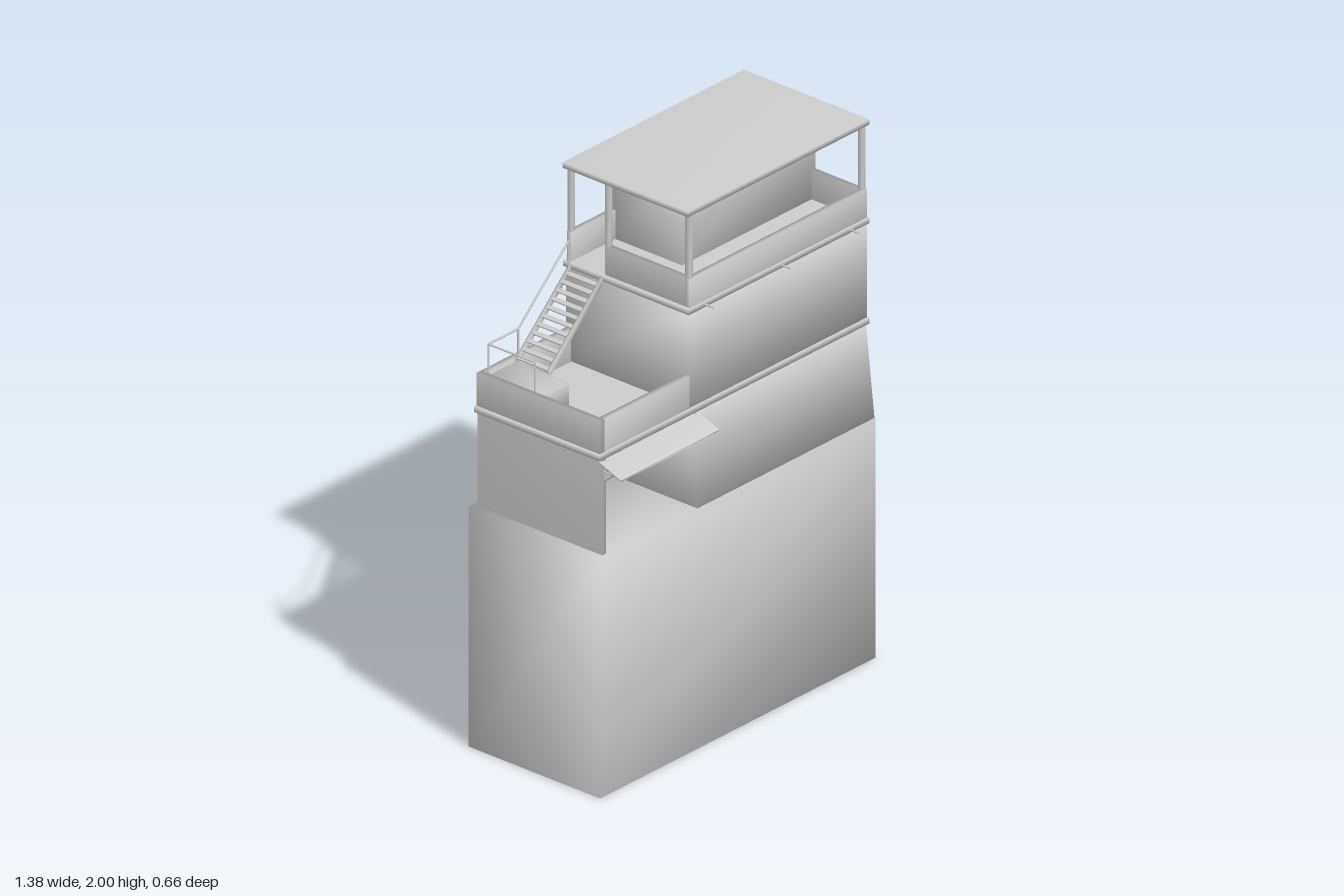
import * as THREE from 'three';
import { mergeVertices } from 'three/addons/utils/BufferGeometryUtils.js';

const grey = new THREE.MeshStandardMaterial({ color: 0xcccccc, side: THREE.DoubleSide });

// Welds corners so shading flows softly across the edges.
function soften(geo) {
  geo.deleteAttribute('normal');
  geo.deleteAttribute('uv');
  const welded = mergeVertices(geo);
  welded.computeVertexNormals();
  return welded;
}

export function createModel() {
  const model = new THREE.Group();
  model.name = 'terracedBuilding';

  const group = (name) => {
    const g = new THREE.Group();
    g.name = name;
    model.add(g);
    return g;
  };

  const add = (parent, name, geo) => {
    const mesh = new THREE.Mesh(geo, grey);
    mesh.name = name;
    parent.add(mesh);
    return mesh;
  };

  // Box given by its extents; shape(v) may move each corner.
  const block = (parent, name, [x0, x1], [y0, y1], [z0, z1], shape) => {
    const geo = new THREE.BoxGeometry(x1 - x0, y1 - y0, z1 - z0);
    geo.translate((x0 + x1) / 2, (y0 + y1) / 2, (z0 + z1) / 2);
    if (shape) {
      const p = geo.attributes.position;
      const v = new THREE.Vector3();
      for (let i = 0; i < p.count; i++) {
        v.fromBufferAttribute(p, i);
        shape(v);
        p.setXYZ(i, v.x, v.y, v.z);
      }
    }
    return add(parent, name, soften(geo));
  };

  // Thin round bar between two points.
  const bar = (parent, name, a, b, r = 0.004) => {
    const from = new THREE.Vector3(...a), to = new THREE.Vector3(...b);
    const dir = to.clone().sub(from);
    const mesh = add(parent, name, new THREE.CylinderGeometry(r, r, dir.length(), 6));
    mesh.position.copy(from).add(to).multiplyScalar(0.5);
    mesh.quaternion.setFromUnitVectors(new THREE.Vector3(0, 1, 0), dir.normalize());
    return mesh;
  };

  // Main volumes
  block(model, 'base', [-0.69, 0.69], [0, 0.89], [-0.33, 0.25]);
  block(model, 'lowerStorey', [-0.2, 0.688], [0.89, 1.24], [-0.31, 0.248], (v) => {
    if (v.y > 1) {
      v.x += v.x > 0 ? -0.022 : -0.015;
      if (v.z > 0) v.z -= 0.018;
    }
  });
  block(model, 'middleStorey', [-0.222, 0.668], [1.265, 1.615], [-0.312, 0.232]);
  block(model, 'topRoom', [0, 0.668], [1.635, 1.98], [-0.31, 0.005]);

  // Projecting slabs between storeys, and the roof
  block(model, 'lowerSlab', [-0.68, 0.674], [1.242, 1.264], [-0.316, 0.238]);
  block(model, 'upperSlab', [-0.232, 0.674], [1.615, 1.635], [-0.316, 0.238]);
  block(model, 'roof', [-0.235, 0.674], [1.98, 2], [-0.316, 0.238]);

  // Covered porch beside the lower storey
  const porch = group('porch');
  block(porch, 'sideWall', [-0.668, -0.65], [0.89, 1.242], [-0.31, 0.24]);
  block(porch, 'backParapet', [-0.65, -0.2], [0.89, 1.005], [-0.31, -0.29]);

  // Terrace parapet on the lower slab
  const terrace = group('terrace');
  block(terrace, 'sideParapet', [-0.672, -0.648], [1.264, 1.385], [-0.312, 0.232]);
  block(terrace, 'frontParapet', [-0.648, -0.222], [1.264, 1.385], [0.21, 0.232]);
  block(terrace, 'backParapet', [-0.648, -0.222], [1.264, 1.385], [-0.312, -0.29]);

  // Balcony parapet around the top room, open at the head of the stairs
  const balcony = group('balcony');
  block(balcony, 'frontParapet', [-0.22, 0.668], [1.635, 1.742], [0.212, 0.232]);
  block(balcony, 'sideParapet', [-0.22, -0.2], [1.635, 1.742], [-0.14, 0.212]);
  block(balcony, 'rightParapet', [0.648, 0.668], [1.635, 1.742], [0.005, 0.212]);
  block(balcony, 'backParapet', [-0.22, 0], [1.635, 1.742], [-0.31, -0.29]);

  // Roof posts
  for (const [x, z] of [[-0.21, 0.22], [0.656, 0.22], [-0.21, -0.3], [-0.21, -0.135]]) {
    block(balcony, 'roofPost', [x - 0.009, x + 0.009], [1.635, 1.98], [z - 0.009, z + 0.009]);
  }

  // Landing and open-tread stairs from the terrace to the balcony
  const stairs = group('stairs');
  block(stairs, 'landing', [-0.645, -0.5], [1.264, 1.37], [-0.288, -0.055]);
  const steps = 11;
  for (let i = 0; i < steps; i++) {
    const x = -0.5 + (i * 0.265) / steps;
    const y = 1.385 + (i * 0.245) / steps;
    block(stairs, 'tread', [x, x + 0.021], [y - 0.006, y], [-0.282, -0.15]);
  }
  for (const z of [-0.286, -0.146]) {
    block(stairs, 'stringer', [-0.5, -0.232], [1.355, 1.385], [z - 0.004, z + 0.004], (v) => {
      if (v.x > -0.3) v.y += 0.247;
    });
  }

  // Handrail along the back of the stairs and round the landing
  const rail = group('handrail');
  const railPath = [
    [-0.24, 1.72, -0.285], [-0.492, 1.49, -0.285], [-0.642, 1.49, -0.285], [-0.642, 1.49, -0.08],
  ];
  railPath.forEach((p, i) => {
    if (i) bar(rail, 'topRail', railPath[i - 1], p);
    bar(rail, 'railPost', [p[0], i ? 1.37 : 1.62, p[2]], p);
  });

  // Sloping awning over the porch with triangular brackets
  const awning = group('awning');
  block(awning, 'canopy', [-0.677, -0.183], [1.232, 1.24], [0.232, 0.33], (v) => {
    if (v.z > 0.3) v.y -= 0.037;
  });
  for (const x of [-0.655, -0.2]) {
    bar(awning, 'bracketArm', [x, 1.195, 0.235], [x, 1.195, 0.322]);
    bar(awning, 'bracketBrace', [x, 1.162, 0.238], [x, 1.208, 0.295]);
    bar(awning, 'bracketUpright', [x, 1.16, 0.238], [x, 1.24, 0.238]);
  }

  // Short rods projecting from the upper slab
  for (const x of [-0.15, 0.235, 0.58]) {
    bar(model, 'slabRod', [x, 1.625, 0.235], [x, 1.625, 0.276], 0.004);
  }

  // Top-hung window propped open on the room front
  block(model, 'windowFlap', [0.508, 0.606], [1.86, 1.94], [0.003, 0.008], (v) => {
    if (v.y < 1.9) v.z += 0.065;
  });

  return model;
}
